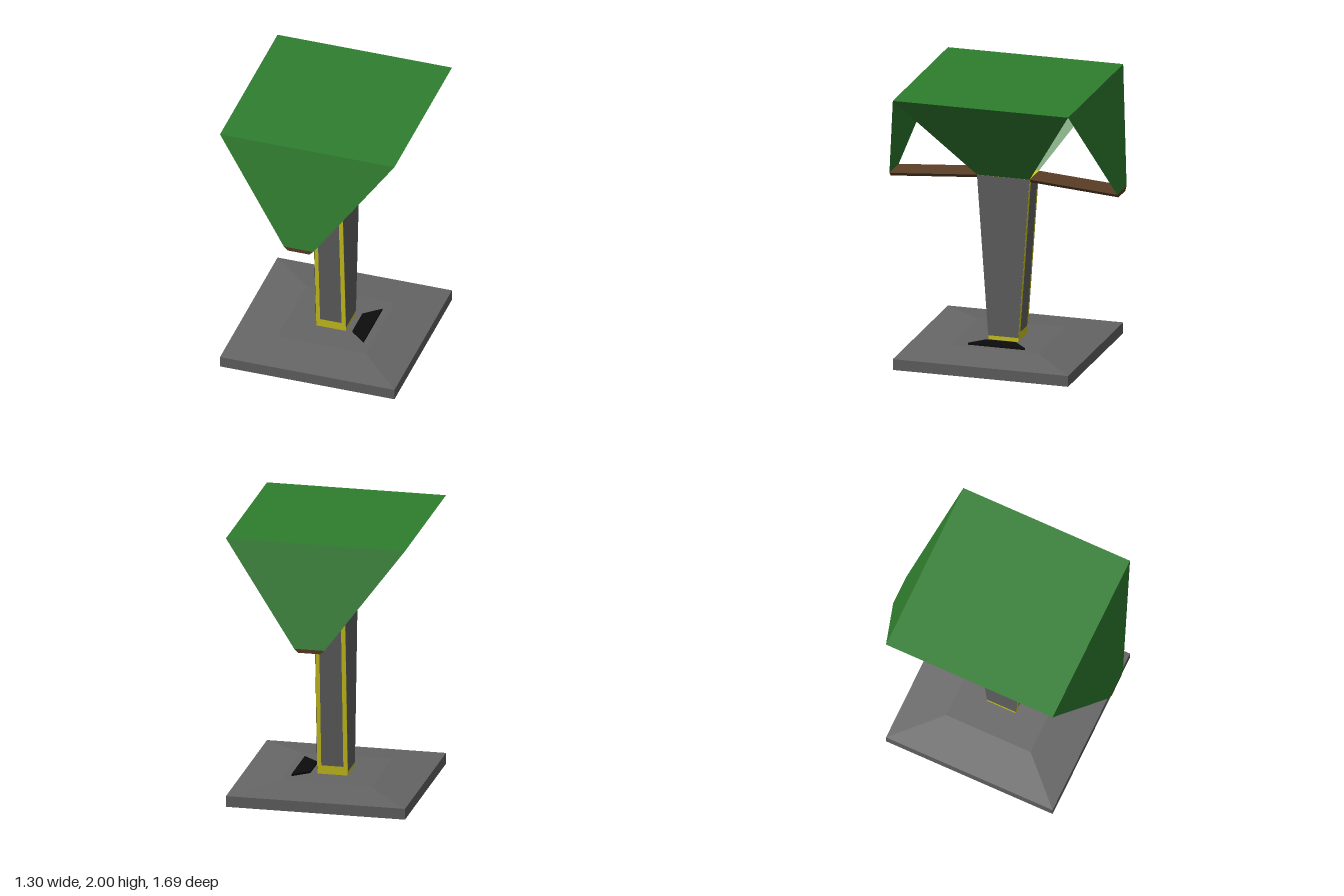
import * as THREE from 'three';

const material = (color) => new THREE.MeshStandardMaterial({ color, side: THREE.DoubleSide, flatShading: true });

// A unit box whose corners are moved by a rule: (sx, sy, sz) are -1 or 1
function block(rule) {
  const geometry = new THREE.BoxGeometry(2, 2, 2);
  const p = geometry.attributes.position;
  for (let i = 0; i < p.count; i++) p.setXYZ(i, ...rule(p.getX(i), p.getY(i), p.getZ(i)));
  geometry.computeVertexNormals();
  return geometry;
}

// A thin four-cornered panel, corners anticlockwise from its front
function panel(...corners) {
  const geometry = new THREE.BufferGeometry();
  geometry.setAttribute('position', new THREE.Float32BufferAttribute(corners.flat(), 3));
  geometry.setIndex([0, 1, 2, 0, 2, 3]);
  geometry.computeVertexNormals();
  return geometry;
}

export function createModel() {
  const group = new THREE.Group();
  const grey = material(0x666666);
  const yellow = material(0xd8d020);
  const green = material(0x2f7f2f);
  const brown = material(0x5c3f27);
  const black = material(0x0c0c0c);

  const add = (name, geometry, mat) => {
    const mesh = new THREE.Mesh(geometry, mat);
    mesh.name = name;
    group.add(mesh);
    return mesh;
  };

  // Square base with a shallow sloping top
  const half = 0.65;
  add('baseSlab', block((x, y, z) => [x * half, y > 0 ? 0.08 : 0, z * half]), grey);
  add('baseSlope', block((x, y, z) => {
    const h = y > 0 ? 0.33 : half;
    return [x * h, y > 0 ? 0.115 : 0.08, z * h];
  }), grey);

  // Trapezoid plate on the left of the base
  add('basePlate', block((x, y, z) => [
    x > 0 ? 0.275 : 0.16,
    y > 0 ? 0.13 : 0.112,
    z * (x > 0 ? 0.212 : 0.11),
  ]), black);

  // Post, widening in depth towards the top
  const bottom = 0.115, top = 1.33, width = 0.11;
  const depthAt = (y) => THREE.MathUtils.lerp(0.11, 0.195, (y - bottom) / (top - bottom));
  add('post', block((x, y, z) => {
    const h = y > 0 ? top : bottom;
    return [x * width, h, z * depthAt(h)];
  }), yellow);

  // Grey facings let the yellow frame show round them
  for (const s of [1, -1]) {
    const x = s * (width + 0.002);
    const z = (y) => s * depthAt(y);
    add('postSide', panel([x, 0.145, z(0.145)], [x, 0.145, -z(0.145)], [x, top, -z(top)], [x, top, z(top)]), grey);

    const face = (px, y) => [s * px, y, s * (depthAt(y) + 0.002)];
    add('postFace', panel(face(-0.08, 0.18), face(0.08, 0.18), face(0.08, 1.3), face(-0.08, 1.3)), grey);
  }

  // Arms reaching forward and back, drooping slightly
  const reach = 0.845, tipTop = 1.28;
  for (const s of [1, -1]) {
    add('arm', block((x, y, z) => [
      x * (y > 0 ? 0.11 : 0.08),
      (z * s > 0 ? tipTop : top) - (y > 0 ? 0 : 0.028),
      z * s > 0 ? s * reach : s * 0.19,
    ]), brown);
  }

  // Canopy: flat top, two long end panels and two side panels, open at the corners
  const roof = 2;
  add('canopyTop', panel([-half, roof, half], [half, roof, half], [half, roof, -half], [-half, roof, -half]), green);
  for (const s of [1, -1]) {
    add('canopyEnd', panel(
      [-s * width, tipTop, s * reach], [s * width, tipTop, s * reach],
      [s * half, roof, s * half], [-s * half, roof, s * half]), green);
    add('canopySide', panel(
      [s * width, top, s * 0.195], [s * width, top, -s * 0.195],
      [s * half, roof, -s * half], [s * half, roof, s * half]), green);
  }

  // Round lamp under the canopy
  const lamp = add('lamp', new THREE.SphereGeometry(0.1, 24, 16), new THREE.MeshStandardMaterial({ color: 0xcccccc }));
  lamp.position.y = top;

  return group;
}
